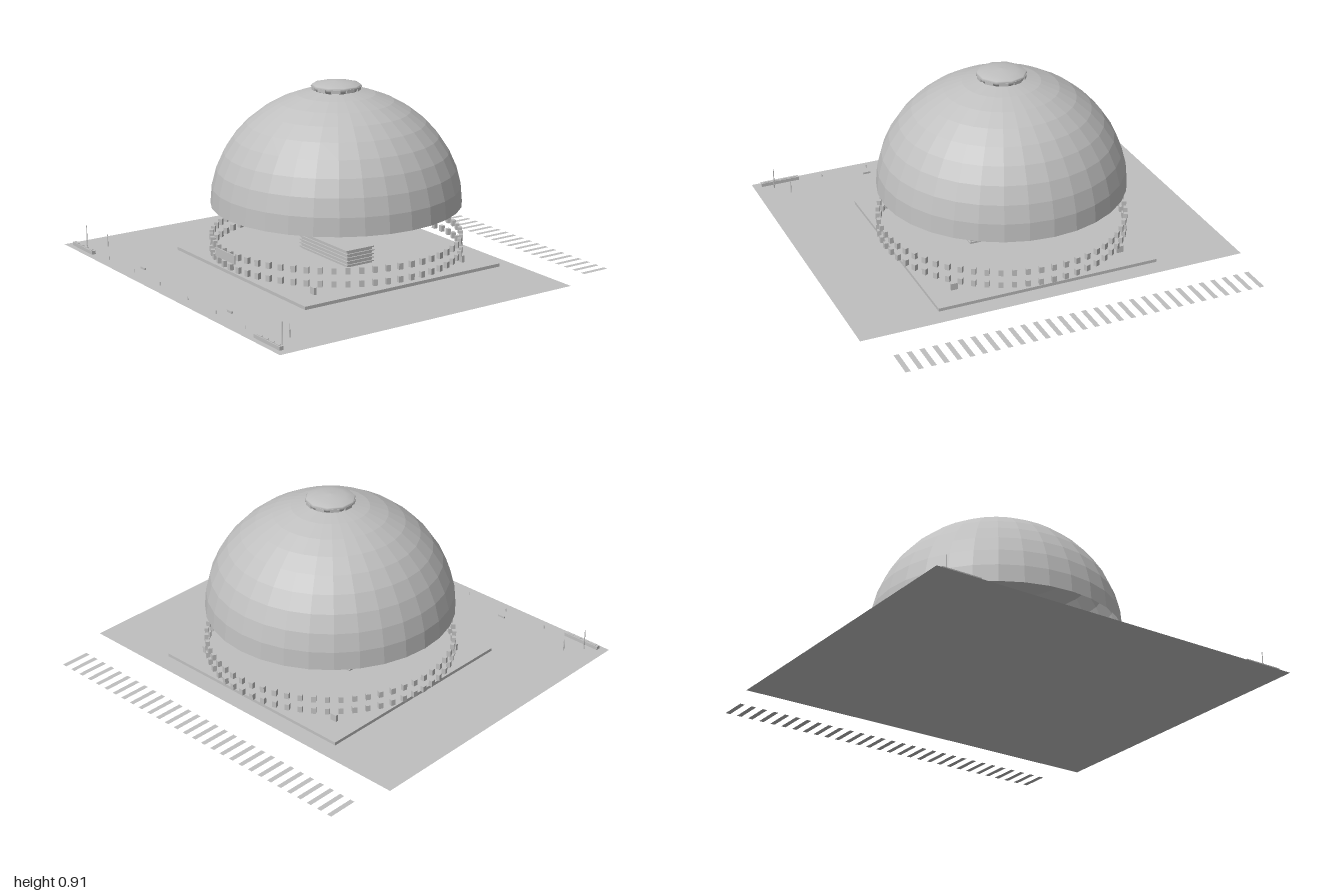
import * as THREE from 'three';

export function createModel() {
  const model = new THREE.Group();
  const grey = new THREE.MeshStandardMaterial({ color: 0xbfbfbf, side: THREE.DoubleSide });
  grey.name = 'concreteGrey';
  const greyFlat = grey.clone();
  greyFlat.flatShading = true;
  greyFlat.name = 'shellGrey';

  const add = (name, geo, x = 0, y = 0, z = 0, mat = grey, parent = model) => {
    const mesh = new THREE.Mesh(geo, mat);
    mesh.name = name;
    mesh.position.set(x, y, z);
    parent.add(mesh);
    return mesh;
  };
  const box = (name, w, h, d, x, y, z, parent = model) =>
    add(name, new THREE.BoxGeometry(w, h, d), x, y, z, grey, parent);
  const group = (name) => {
    const g = new THREE.Group();
    g.name = name;
    model.add(g);
    return g;
  };
  const CZ = -0.008; // centre of the dome in z

  // Paved ground, six strips side by side
  const ground = group('ground');
  const strip = 1.664 / 6;
  for (let i = 0; i < 6; i++) {
    const tile = new THREE.PlaneGeometry(2, strip).rotateX(-Math.PI / 2);
    add('groundStrip', tile, 0, 0, -0.675 + strip * (i + 0.5), grey, ground);
  }

  // Row of flat bays behind the ground
  const bays = group('rearBays');
  for (let i = 0; i < 30; i++) {
    const bay = new THREE.PlaneGeometry(0.025, 0.152).rotateX(-Math.PI / 2);
    add('bay', bay, -0.928 + i * 0.0627, 0.002, -0.924, grey, bays);
  }

  // Square podium
  box('podium', 1.15, 0.016, 1.155, 0, 0.011, CZ);

  // Open dome shell
  const domeProfile = [];
  for (let i = 0; i <= 10; i++) {
    const a = (i / 10) * Math.PI / 2;
    domeProfile.push(new THREE.Vector2(0.623 * Math.cos(a), 0.298 + 0.575 * Math.sin(a)));
  }
  add('dome', new THREE.LatheGeometry(domeProfile, 32), 0, 0, CZ, greyFlat);

  // Ten-sided crown with vents round its rim
  const crownProfile = [[0.11, 0.862], [0.118, 0.872], [0.125, 0.882], [0.12, 0.892],
    [0.08, 0.901], [0.04, 0.907], [0, 0.91]].map(([r, y]) => new THREE.Vector2(r, y));
  add('crown', new THREE.LatheGeometry(crownProfile, 10), 0, 0, CZ);
  const vents = group('crownVents');
  for (let i = 0; i < 10; i++) {
    const a = (i + 0.5) / 10 * Math.PI * 2;
    const vent = box('vent', 0.045, 0.016, 0.012, Math.sin(a) * 0.114, 0.876, CZ + Math.cos(a) * 0.114, vents);
    vent.rotation.y = a;
  }

  // Two rings of small blocks below the dome
  const rings = group('windowRings');
  for (const y of [0.07, 0.134]) {
    for (let i = 0; i < 60; i++) {
      const a = i / 60 * Math.PI * 2;
      const block = box('window', 0.023, 0.031, 0.02, Math.sin(a) * 0.62, y, CZ + Math.cos(a) * 0.62, rings);
      block.rotation.y = a;
    }
  }

  // Panel over the front entrance
  box('entrancePanel', 0.175, 0.044, 0.006, 0, 0.131, 0.641);

  // Block in the middle, with ledges
  const core = group('centralBlock');
  box('coreBody', 0.4, 0.08, 0.15, 0, 0.059, CZ, core);
  box('coreRoof', 0.41, 0.006, 0.165, 0, 0.102, CZ, core);
  for (const y of [0.03, 0.048, 0.066, 0.084]) {
    box('ledge', 0.415, 0.006, 0.165, 0, y, CZ, core);
  }

  // Booths on the podium diagonals
  for (const sx of [-1, 1]) {
    for (const sz of [-1, 1]) {
      box('booth', 0.035, 0.035, 0.014, sx * 0.442, 0.036, CZ + sz * 0.442);
    }
  }

  // Mirrored forecourt furniture
  for (const s of [-1, 1]) {
    const corner = group(s > 0 ? 'forecourtLeft' : 'forecourtRight');
    box('lowWall', 0.205, 0.018, 0.022, s * 0.855, 0.011, 0.953, corner);
    for (let i = 0; i < 4; i++) {
      box('wallCap', 0.035, 0.004, 0.012, s * (0.785 + i * 0.047), 0.021, 0.953, corner);
    }
    add('tallPole', new THREE.CylinderGeometry(0.002, 0.003, 0.11, 6), s * 0.9, 0.055, 0.912, grey, corner);
    add('shortPole', new THREE.CylinderGeometry(0.002, 0.003, 0.065, 6), s * 0.835, 0.033, 0.828, grey, corner);
    box('bench', 0.04, 0.01, 0.008, s * 0.4, 0.006, 0.868, corner);
    for (const x of [0.13, 0.38, 0.63]) {
      add('bollard', new THREE.CylinderGeometry(0.002, 0.002, 0.018, 6), s * x, 0.009, 0.93, grey, corner);
    }
  }
  return model;
}
